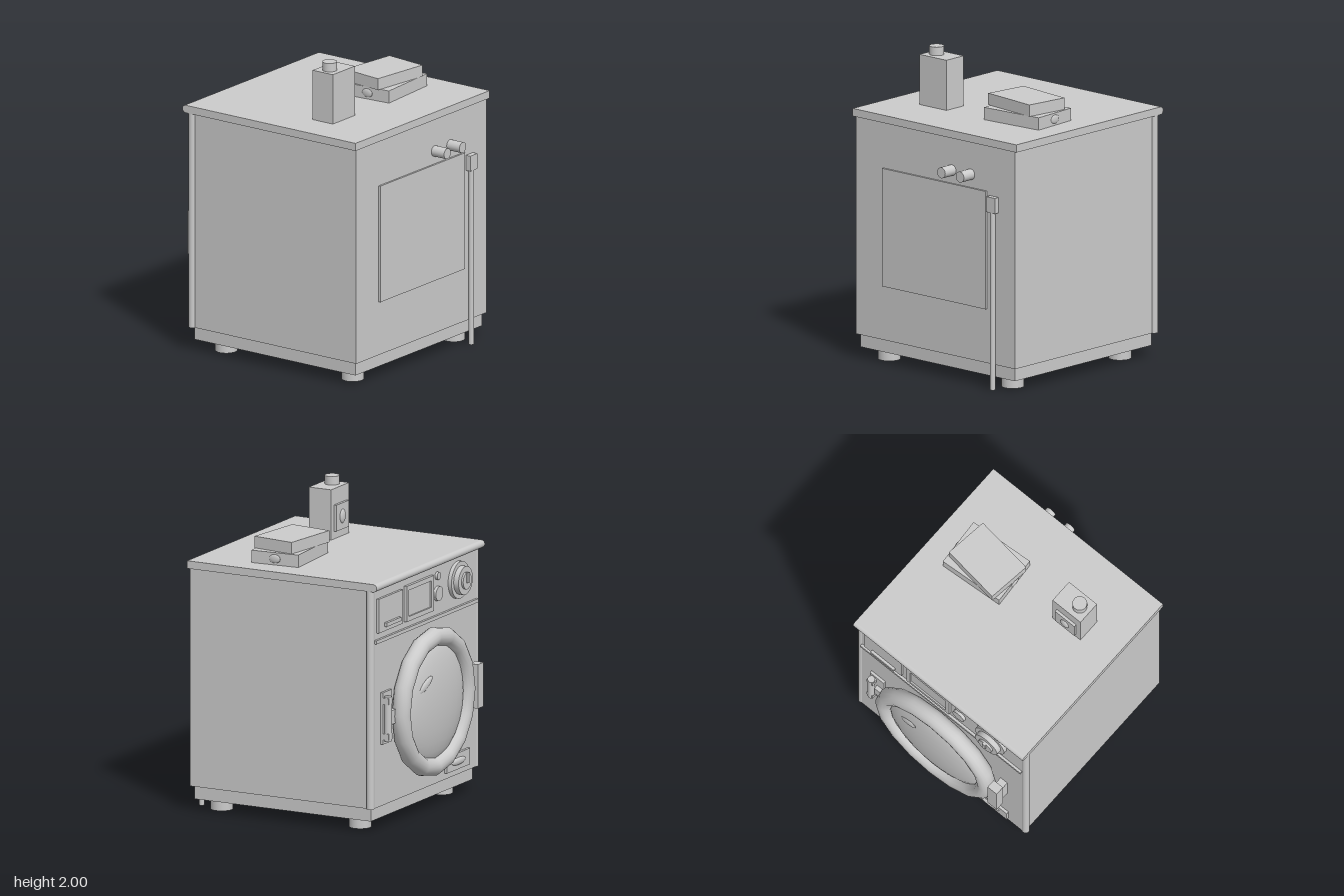
import * as THREE from 'three';

export function createModel() {
  const model = new THREE.Group();
  const mat = new THREE.MeshStandardMaterial({ color: 0xcccccc });

  const add = (name, geo, x, y, z, parent = model) => {
    const m = new THREE.Mesh(geo, mat);
    m.name = name;
    m.position.set(x, y, z);
    parent.add(m);
    return m;
  };
  // Box given by its limits on each axis
  const box = (name, x0, x1, y0, y1, z0, z1) =>
    add(name, new THREE.BoxGeometry(x1 - x0, y1 - y0, z1 - z0), (x0 + x1) / 2, (y0 + y1) / 2, (z0 + z1) / 2);
  // Upright cylinder between two heights
  const post = (name, r, x, z, y0, y1, n = 24) =>
    add(name, new THREE.CylinderGeometry(r, r, y1 - y0, n), x, (y0 + y1) / 2, z);
  // Cylinder along z between two depths
  const disc = (name, r, x, y, z0, z1, n = 28) => {
    const m = add(name, new THREE.CylinderGeometry(r, r, z1 - z0, n), x, y, (z0 + z1) / 2);
    m.rotation.x = Math.PI / 2;
    return m;
  };
  const ellipsoid = (name, x, y, z, rx, ry, rz) => {
    const m = add(name, new THREE.SphereGeometry(1, 24, 14), x, y, z);
    m.scale.set(rx, ry, rz);
    return m;
  };

  // Cabinet, plinth, worktop and feet
  box('cabinet', -0.68, 0.68, 0.16, 1.57, -0.645, 0.67);
  box('plinth', -0.66, 0.66, 0.075, 0.16, -0.62, 0.65);
  box('worktop', -0.7, 0.7, 1.57, 1.62, -0.66, 0.68);
  const edge = add('worktopRoundedEdge', new THREE.CylinderGeometry(0.025, 0.025, 1.4, 20), 0, 1.595, -0.66);
  edge.rotation.z = Math.PI / 2;
  for (const x of [-0.527, 0.527]) {
    for (const z of [-0.47, 0.527]) post('foot', 0.072, x, z, 0, 0.08);
    post('cornerTrim', 0.025, Math.sign(x) * 0.675, -0.625, 0.16, 1.57, 16);
  }

  // Service panel, hose connectors and drain pipe on the +z side
  box('servicePanel', -0.445, 0.44, 0.51, 1.275, 0.66, 0.683);
  for (const x of [0.14, 0.3]) disc('hoseConnector', 0.035, x, 1.36, 0.66, 0.77);
  box('drainPipeBracket', 0.465, 0.54, 1.15, 1.25, 0.66, 0.705);
  post('drainPipe', 0.018, 0.502, 0.685, 0, 1.16, 14);

  // Control strip: drawer, display, buttons and dial
  box('controlLedge', -0.66, 0.66, 1.225, 1.248, -0.662, -0.64);
  box('detergentDrawer', 0.32, 0.63, 1.29, 1.51, -0.662, -0.64);
  box('drawerHandle', 0.37, 0.56, 1.32, 1.345, -0.68, -0.66);
  const frame = new THREE.Shape([[-0.175, -0.115], [0.175, -0.115], [0.175, 0.115], [-0.175, 0.115]]
    .map(p => new THREE.Vector2(...p)));
  frame.holes.push(new THREE.Path([[-0.145, -0.085], [-0.145, 0.085], [0.145, 0.085], [0.145, -0.085]]
    .map(p => new THREE.Vector2(...p))));
  add('displayFrame', new THREE.ExtrudeGeometry(frame, { depth: 0.025, bevelEnabled: false }), 0.1, 1.405, -0.665);
  box('displayScreen', -0.045, 0.245, 1.32, 1.49, -0.655, -0.64);
  disc('smallButton', 0.025, -0.15, 1.5, -0.662, -0.64);
  disc('largeButton', 0.047, -0.15, 1.385, -0.665, -0.64);
  disc('dialBase', 0.12, -0.415, 1.42, -0.67, -0.64, 32);
  disc('dialRing', 0.092, -0.415, 1.42, -0.705, -0.67, 32);
  disc('dialKnob', 0.055, -0.415, 1.42, -0.718, -0.705);
  box('dialPointer', -0.427, -0.403, 1.41, 1.475, -0.73, -0.71);

  // Round door: coarse rim, domed window and highlight
  add('doorRim', new THREE.TorusGeometry(0.42, 0.06, 16, 16), 0, 0.725, -0.705);
  ellipsoid('doorWindow', 0, 0.725, -0.68, 0.4, 0.4, 0.093);
  const glint = ellipsoid('windowHighlight', 0.185, 0.875, -0.753, 0.08, 0.026, 0.012);
  glint.rotation.set(0, -0.15, -0.58);

  // Door hinge block
  box('hingeBlock', -0.55, -0.475, 0.585, 0.87, -0.76, -0.7);
  box('hingeMount', -0.54, -0.485, 0.63, 0.82, -0.7, -0.64);

  // Latch plate with grip
  box('latchPlate', 0.465, 0.58, 0.56, 0.895, -0.662, -0.64);
  post('latchGrip', 0.024, 0.55, -0.683, 0.58, 0.87, 16);
  for (const y of [0.61, 0.84]) box('gripMount', 0.525, 0.575, y - 0.02, y + 0.02, -0.7, -0.655);
  box('latchStrap', 0.42, 0.52, 0.68, 0.77, -0.69, -0.655);

  // Filter hatch
  box('filterHatch', -0.55, -0.25, 0.2, 0.305, -0.663, -0.64);
  ellipsoid('filterGrip', -0.4, 0.252, -0.662, 0.09, 0.024, 0.014);

  // Detergent bottle standing on the worktop
  box('bottle', -0.46, -0.23, 1.62, 1.945, 0.16, 0.32);
  post('bottleCap', 0.047, -0.387, 0.24, 1.945, 2.0);
  box('bottleLabel', -0.425, -0.265, 1.67, 1.84, 0.142, 0.16);
  ellipsoid('labelBadge', -0.345, 1.755, 0.142, 0.034, 0.045, 0.014);

  // Two turned boxes stacked on the worktop
  const stacked = (name, w, h, d, x, y, z, turn) => {
    add(name, new THREE.BoxGeometry(w, h, d), x, y, z).rotation.y = turn;
  };
  stacked('lowerBox', 0.44, 0.08, 0.326, 0.314, 1.66, 0.157, 0.07);
  stacked('upperBox', 0.403, 0.075, 0.29, 0.2975, 1.7375, 0.149, -0.125);
  for (const s of [-1, 1]) ellipsoid('boxTab', 0.314 + s * 0.219, 1.66, 0.157 - s * 0.015, 0.01, 0.028, 0.04);

  return model;
}
